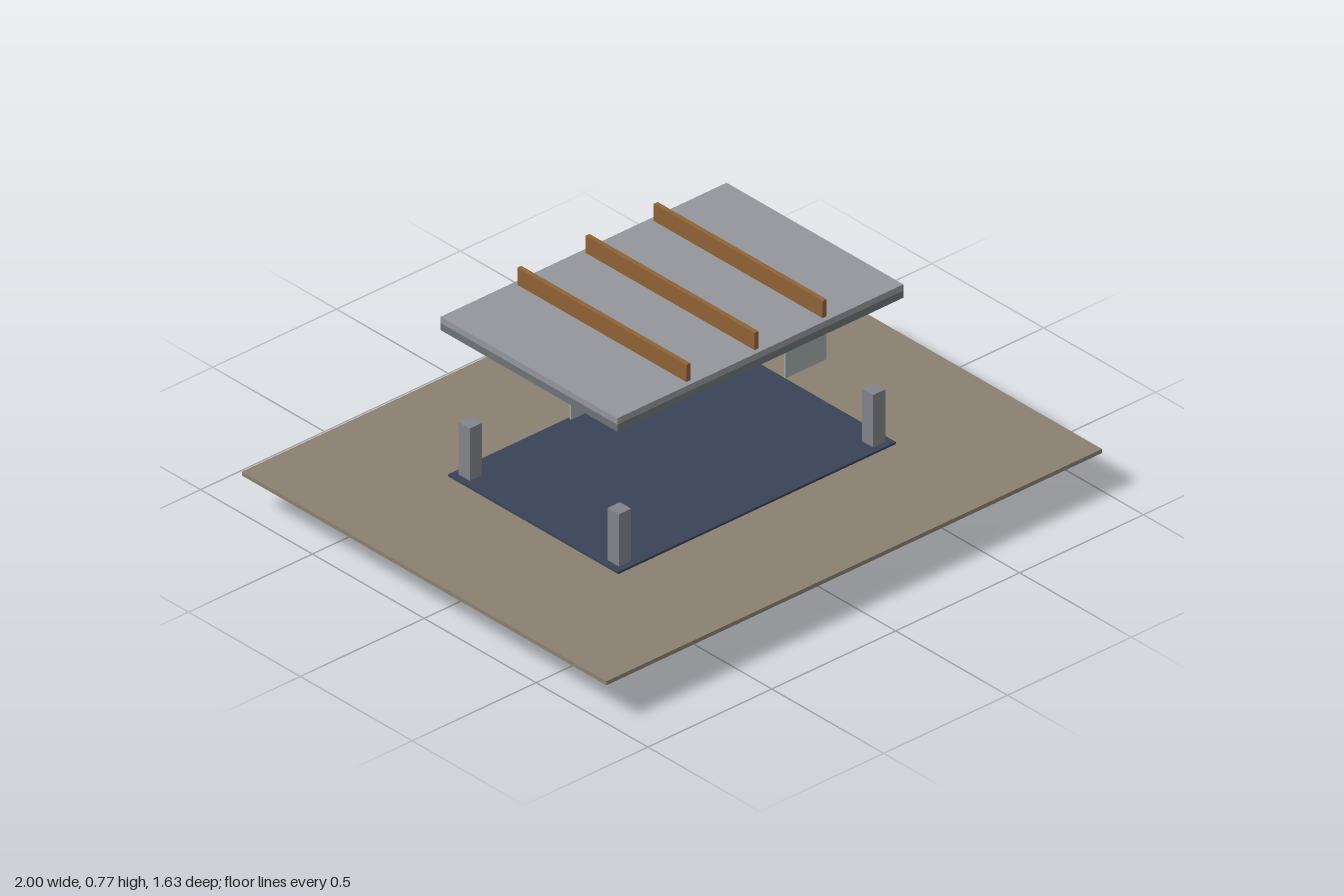
import * as THREE from 'three';

const mat = (color) => new THREE.MeshStandardMaterial({ color });
const soil = mat(0x8b8070);
const timberBeam = mat(0x967b28);
const screed = mat(0x9a9ca1);
const floorBlue = mat(0x3a4358);
const steel = mat(0x80838a);
const roofTop = mat(0x94969c);
const roofBase = mat(0x6c7278);
const purlinBrown = mat(0x8f6236);
const glass = mat(0x9fa7aa);

export function createModel() {
  const model = new THREE.Group();

  // Box given by its lower and upper limits on each axis
  const box = (name, material, [x0, x1], [y0, y1], [z0, z1]) => {
    const mesh = new THREE.Mesh(new THREE.BoxGeometry(x1 - x0, y1 - y0, z1 - z0), material);
    mesh.position.set((x0 + x1) / 2, (y0 + y1) / 2, (z0 + z1) / 2);
    mesh.name = name;
    model.add(mesh);
  };
  // Range of the given width around a centre
  const around = (c, w) => [c - w / 2, c + w / 2];

  // Ground sheet and floor covering
  box('ground', soil, [-1, 1], [0.133, 0.147], [-0.815, 0.815]);
  box('floor', floorBlue, [-0.56, 0.56], [0.147, 0.155], [-0.38, 0.38]);

  // Foundation slab, its edge just proud of the beams
  box('foundationSlab', screed, [-0.564, 0.564], [0.093, 0.12], [-0.384, 0.384]);

  for (const s of [-1, 1]) {
    // Foundation beams crossing past each other at the corners
    box('longBeam', timberBeam, [-0.6, 0.6], [0.002, 0.133], around(s * 0.33, 0.1));
    box('crossBeam', timberBeam, around(s * 0.51, 0.1), [0.002, 0.133], [-0.415, 0.415]);

    // Corner pads and columns
    for (const t of [-1, 1]) {
      box('footingPad', steel, around(s * 0.51, 0.1), [0, 0.03], around(t * 0.33, 0.1));
      box('column', steel, around(s * 0.513, 0.05), [0.15, 0.338], around(t * 0.333, 0.05));
    }
  }

  // Door and window panels
  box('doorPanel', glass, [-0.09, 0.088], [0.167, 0.548], around(-0.355, 0.008));
  box('windowPanel', glass, [0.455, 0.62], [0.25, 0.47], around(0, 0.006));

  // Two-layer roof, raised above the columns
  box('roofBase', roofBase, [-0.577, 0.577], [0.66, 0.685], [-0.395, 0.395]);
  box('roofTop', roofTop, [-0.577, 0.577], [0.685, 0.707], [-0.395, 0.395]);

  // Purlins across the roof
  for (const x of [-0.275, 0, 0.275])
    box('purlin', purlinBrown, around(x, 0.016), [0.707, 0.767], [-0.378, 0.378]);

  return model;
}
